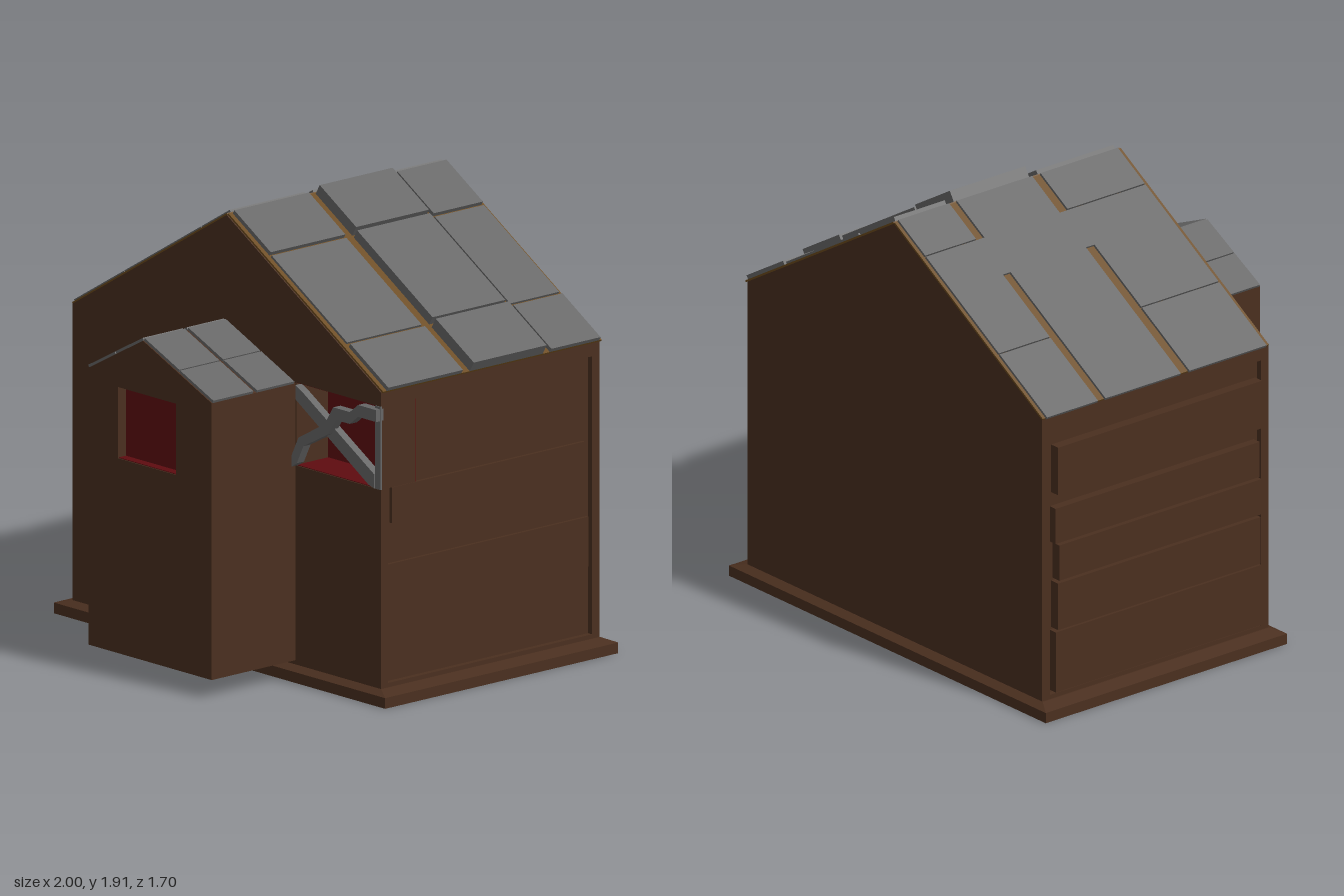
import * as THREE from 'three';

const mat = (color) => new THREE.MeshStandardMaterial({ color, flatShading: true, side: THREE.DoubleSide });
const brown = mat(0x4a2f1f);
const grey = mat(0x666666);
const red = mat(0x5e0c10);
const ochre = mat(0x6b4a1c);

export function createModel() {
  const model = new THREE.Group();

  const add = (name, geometry, material) => {
    const mesh = new THREE.Mesh(geometry, material);
    mesh.name = name;
    model.add(mesh);
    return mesh;
  };

  // Box given by its limits
  const box = (name, material, x0, x1, y0, y1, z0, z1) => {
    const g = new THREE.BoxGeometry(x1 - x0, y1 - y0, z1 - z0);
    g.translate((x0 + x1) / 2, (y0 + y1) / 2, (z0 + z1) / 2);
    return add(name, g, material);
  };

  // Front outline pushed along z, with an optional rectangular opening
  const slab = (name, material, points, z0, z1, hole) => {
    const shape = new THREE.Shape(points.map((p) => new THREE.Vector2(...p)));
    if (hole) {
      const [a, b, c, d] = hole;
      shape.holes.push(new THREE.Path([[a, c], [a, d], [b, d], [b, c]].map((p) => new THREE.Vector2(...p))));
    }
    const g = new THREE.ExtrudeGeometry(shape, { depth: z1 - z0, bevelEnabled: false });
    g.translate(0, 0, z0);
    return add(name, g, material);
  };

  // Slab lying on a roof slope that falls from the ridge; side is +1 or -1
  const tile = (name, material, side, ridge, slope, x0, x1, z0, z1, t, lift = 0) => {
    const len = Math.hypot(1, slope);
    const nx = slope / len, ny = 1 / len;
    const at = (x, h) => [side * (x + nx * h), ridge - slope * x + ny * h];
    const pts = [at(x0, lift), at(x1, lift), at(x1, lift + t), at(x0, lift + t)];
    return slab(name, material, pts, z0, z1);
  };

  // Plinth with a sloping top edge
  box('plinth', brown, -1, 1, 0, 0.045, -0.85, 0.43);
  const bevel = new THREE.BoxGeometry(2, 0.017, 1.28);
  const pos = bevel.attributes.position;
  for (let i = 0; i < pos.count; i++) {
    if (pos.getY(i) > 0) pos.setXYZ(i, pos.getX(i) * 0.935, pos.getY(i), pos.getZ(i) * 0.94);
  }
  bevel.translate(0, 0.0535, -0.21);
  add('plinthTop', bevel, brown);

  // House body: gable ends flush, side walls recessed between them
  const W = 0.93, R = 0.905, eave = 1.31, ridge = 1.87;
  const outline = [[-W, 0.05], [W, 0.05], [W, eave], [0, ridge], [-W, eave]];
  const recessed = (topRight) => [
    [-W, 0.05], [W, 0.05], [W, 0.08], [R, 0.08], [R, topRight], [W, topRight],
    [W, eave], [0, ridge], [-W, eave], [-W, 1.25], [-R, 1.25], [-R, 0.08], [-W, 0.08],
  ];
  const opening = [0.42, 0.9, 0.9, 1.25];
  slab('backGable', brown, outline, -0.81, -0.77);
  slab('sideWalls', brown, recessed(1.25), -0.77, 0.2);
  slab('frontCorner', brown, recessed(0.9), 0.2, 0.35, opening);
  slab('frontGable', brown, outline, 0.35, 0.39, opening);

  // Side boards: proud on the right-hand end, shallow on the left
  [[0.09, 0.355], [0.365, 0.57], [0.58, 0.735], [0.745, 0.9], [0.96, 1.17]].forEach(([y0, y1], i) => {
    const out = [0.945, 0.95, 0.947, 0.943, 0.95][i];
    box('rightBoard', brown, -out, -R, y0, y1, -0.75 + 0.008 * (i % 3), 0.34 - 0.008 * (i % 2));
  });
  box('leftBoard', brown, R, 0.92, 0.745, 0.895, -0.74, 0.32);
  box('leftBoard', brown, R, 0.92, 0.365, 0.575, -0.76, 0.34);

  // Boarded window: red lining, pale jamb and crossed planks
  box('windowPanel', red, 0.42, 0.9, 0.9, 1.25, 0.2, 0.215);
  box('windowSill', red, 0.42, 0.9, 0.9, 0.903, 0.215, 0.385);
  box('windowHead', red, 0.42, 0.9, 1.247, 1.25, 0.215, 0.385);
  box('windowReturn', red, R, 0.928, 0.9, 1.25, 0.196, 0.2);
  box('windowJamb', grey, 0.9, 0.932, 0.9, 1.25, 0.385, 0.394);
  slab('straightPlank', grey, [[0.42, 1.18], [0.86, 0.91], [0.895, 0.9], [0.895, 0.96], [0.46, 1.22], [0.42, 1.24]], 0.36, 0.395);
  slab('brokenPlank', grey, [
    [0.42, 0.9], [0.45, 0.92], [0.49, 1.0], [0.64, 1.08], [0.69, 1.15], [0.77, 1.15], [0.82, 1.19], [0.93, 1.19],
    [0.93, 1.24], [0.82, 1.24], [0.77, 1.2], [0.67, 1.2], [0.62, 1.12], [0.46, 1.03], [0.42, 0.95],
  ], 0.375, 0.415);

  // Main roof: ochre underlay with grey sheets on top
  const slope = (ridge - eave) / W;
  const rows = [[-0.8, -0.53], [-0.49, -0.09], [-0.045, 0.365]];
  for (const side of [-1, 1]) tile('roofUnderlay', ochre, side, ridge, slope, 0, 0.935, -0.815, 0.385, 0.008);
  rows.forEach(([z0, z1], r) => {
    const raised = r === 1;
    const t = raised ? 0.05 : 0.02;
    [[0.005, 0.225], [0.235, 0.69], [0.705, 0.935]].forEach(([x0, x1], c) => {
      const thick = t + (c === 1 ? -0.008 : 0);
      tile('leftRoofSheet', grey, 1, ridge, slope, x0, x1, z0, z1, thick, 0.006);
    });
    const cuts = raised ? [[0, 0.94]] : [[0, 0.17], [0.175, 0.635], [0.64, 0.94]];
    for (const [x0, x1] of cuts) tile('rightRoofSheet', grey, -1, ridge, slope, x0, x1, z0, z1, 0.012, 0.006);
  });
  for (const [z0, z1] of [[-0.53, -0.49], [-0.09, -0.045]]) {
    tile('roofBridge', grey, -1, ridge, slope, 0.175, 0.34, z0, z1, 0.012, 0.006);
  }

  // Porch with its own small window
  const porch = [[-0.33, 0.08], [0.415, 0.08], [0.415, 1.245], [0, 1.425], [-0.33, 1.245]];
  slab('porch', brown, porch, 0.385, 0.8);
  slab('porchFront', brown, porch, 0.8, 0.85, [-0.15, 0.2, 0.9, 1.2]);
  box('porchWindow', red, -0.15, 0.2, 0.9, 1.2, 0.8, 0.806);
  box('porchWindowSill', red, -0.15, 0.2, 0.9, 0.903, 0.806, 0.845);

  // Porch roof sheets, two rows on each slope
  for (const [z0, z1] of [[0.4, 0.605], [0.625, 0.845]]) {
    for (const [side, cuts] of [[1, [[0, 0.21], [0.215, 0.415]]], [-1, [[0, 0.165], [0.17, 0.33]]]]) {
      const s = 0.18 / (side > 0 ? 0.415 : 0.33);
      for (const [x0, x1] of cuts) tile('porchRoofSheet', grey, side, 1.425, s, x0, x1, z0, z1, 0.012);
    }
  }

  return model;
}
